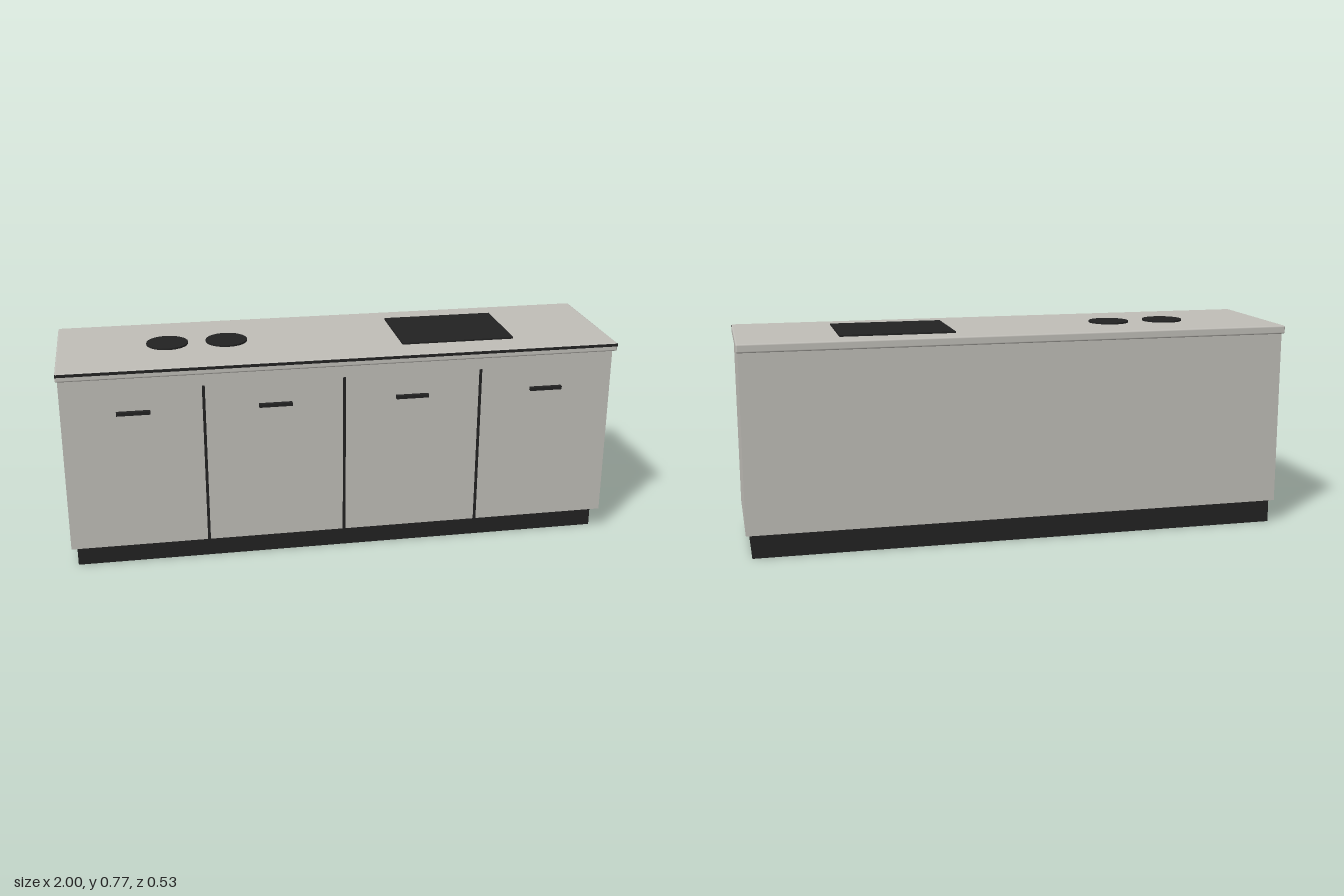
import * as THREE from 'three';
import { RoundedBoxGeometry } from 'three/addons/geometries/RoundedBoxGeometry.js';

export function createModel() {
  const model = new THREE.Group();
  model.name = 'kitchenIsland';
  const stone = new THREE.MeshStandardMaterial({ name: 'warmGrey', color: 0xbfbdb7 });
  const black = new THREE.MeshStandardMaterial({ name: 'softBlack', color: 0x222222 });

  const add = (name, geometry, material, x, y, z) => {
    const mesh = new THREE.Mesh(geometry, material);
    mesh.name = name;
    mesh.position.set(x, y, z);
    model.add(mesh);
    return mesh;
  };
  // Box given by its limits on each axis
  const box = (name, material, [x0, x1], [y0, y1], [z0, z1]) =>
    add(name, new THREE.BoxGeometry(x1 - x0, y1 - y0, z1 - z0), material,
      (x0 + x1) / 2, (y0 + y1) / 2, (z0 + z1) / 2);

  // Recessed plinth, cabinet and softly rounded worktop
  box('plinth', black, [-0.975, 0.975], [0, 0.085], [-0.24, 0.19]);
  box('cabinet', stone, [-0.994, 0.994], [0.085, 0.732], [-0.248, 0.232]);
  add('worktop', new RoundedBoxGeometry(2, 0.031, 0.527, 3, 0.006), stone, 0, 0.7455, -0.0015);
  box('worktopTrim', black, [-1, 1], [0.749, 0.758], [0.256, 0.266]);

  // Gaps between the doors
  for (const x of [-0.499, 0, 0.499]) {
    box('doorGap', black, [x - 0.005, x + 0.005], [0.085, 0.68], [0.23, 0.235]);
  }

  // Bar handles
  for (const x of [-0.745, -0.247, 0.247, 0.745]) {
    box('handle', black, [x - 0.059, x + 0.059], [0.59, 0.602], [0.231, 0.248]);
  }

  // Round burners and rectangular hob plate
  for (const x of [-0.607, -0.393]) {
    add('burner', new THREE.CylinderGeometry(0.075, 0.075, 0.008, 32), black, x, 0.763, -0.01);
  }
  box('hobPlate', black, [0.228, 0.642], [0.759, 0.767], [-0.167, 0.148]);

  return model;
}
